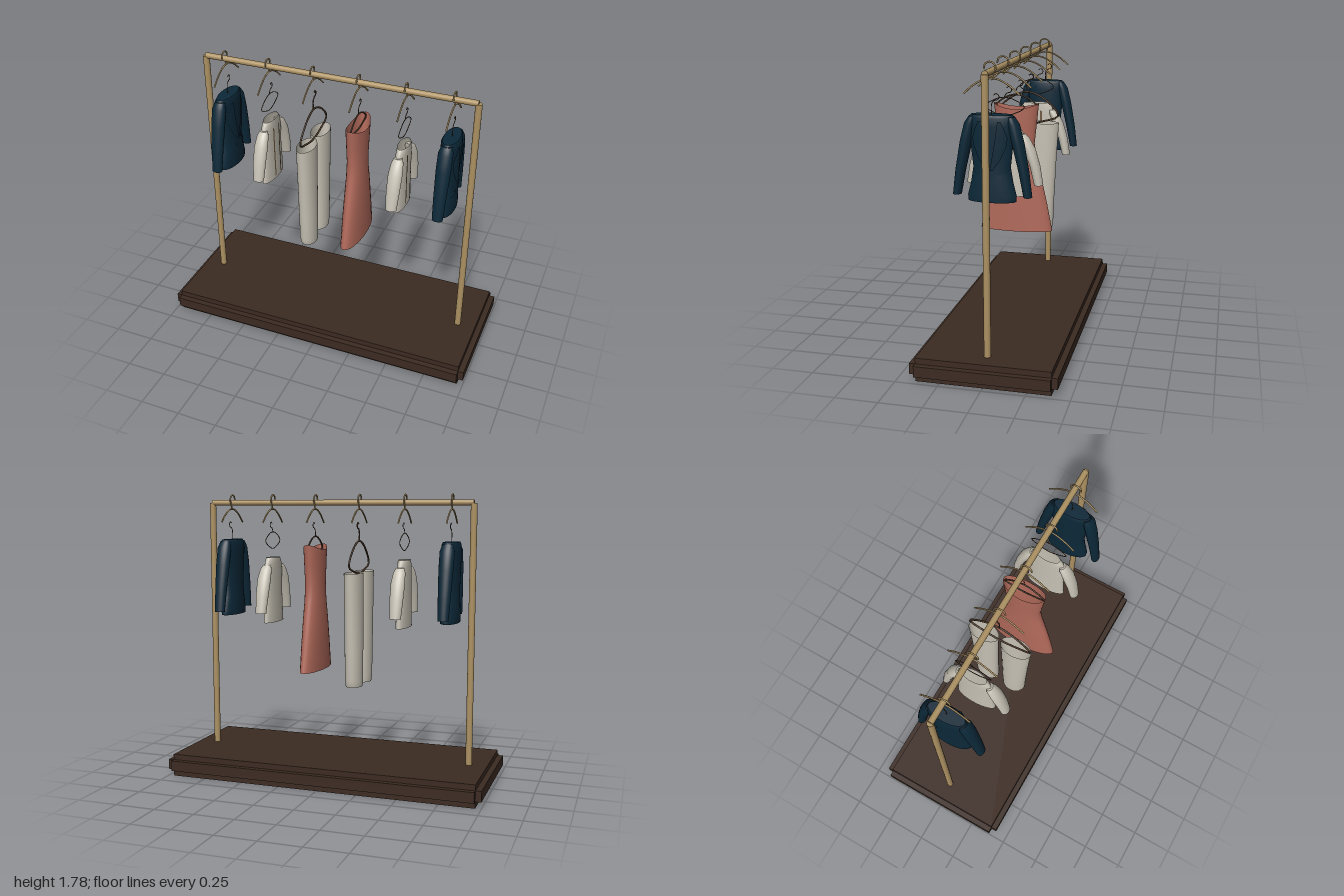
import * as THREE from 'three';

const material = (name, color, side = THREE.FrontSide) => {
  const m = new THREE.MeshStandardMaterial({ color, side });
  m.name = name;
  return m;
};

// Builds a smooth surface from a grid of points; closed grids wrap round.
function gridGeometry(rows, closed, capBottom, capTop) {
  const pos = [], index = [], n = rows[0].length;
  rows.forEach(r => r.forEach(p => pos.push(...p)));
  for (let i = 0; i < rows.length - 1; i++) {
    for (let j = 0; j < (closed ? n : n - 1); j++) {
      const k = (j + 1) % n, a = i * n + j, b = i * n + k;
      index.push(a, a + n, b, b, a + n, b + n);
    }
  }
  // Caps have their own ring so the rim stays sharp
  const cap = (ring, up) => {
    const start = pos.length / 3;
    ring.forEach(p => pos.push(...p));
    pos.push(...[0, 1, 2].map(c => ring.reduce((s, p) => s + p[c], 0) / n));
    for (let j = 0; j < n; j++) {
      const a = start + j, b = start + (j + 1) % n;
      index.push(start + n, ...(up ? [b, a] : [a, b]));
    }
  };
  if (capBottom) cap(rows[0], false);
  if (capTop) cap(rows[rows.length - 1], true);
  const g = new THREE.BufferGeometry();
  g.setAttribute('position', new THREE.Float32BufferAttribute(pos, 3));
  g.setIndex(index);
  g.computeVertexNormals();
  return g;
}

// Elliptical loft, rows of [y, centre z, x radius, z radius] from bottom to top
function loft(rows, { capBottom = false, capTop = false, wave = null } = {}) {
  const rings = rows.map(([y, cz, rx, rz], i) => Array.from({ length: 32 }, (_, j) => {
    const a = j / 32 * Math.PI * 2;
    return [rx * Math.cos(a), y + (wave ? wave(i, a) : 0), cz + rz * Math.sin(a)];
  }));
  return gridGeometry(rings, true, capBottom, capTop);
}

// Thin cloth patch lying on the +x face of a torso, rows of [y, z0, z1]
function patch(rows, torso, lift = 0.005) {
  const at = (y, c) => {
    let i = 0;
    while (i < torso.length - 2 && y > torso[i + 1][0]) i++;
    const t = (y - torso[i][0]) / (torso[i + 1][0] - torso[i][0]);
    return THREE.MathUtils.lerp(torso[i][c], torso[i + 1][c], t);
  };
  return gridGeometry(rows.map(([y, z0, z1]) => Array.from({ length: 7 }, (_, j) => {
    const z = z0 + (z1 - z0) * j / 6;
    return [at(y, 2) * Math.sqrt(Math.max(0, 1 - (z / at(y, 3)) ** 2)) + lift, y, z];
  })), false);
}

const mirrorRows = rows => rows.map(([y, a, b]) => [y, -b, -a]);

// Round wire through points of [z, y] in the plane x = 0
function wire(points, radius, closed = false) {
  const curve = new THREE.CatmullRomCurve3(points.map(([z, y]) => new THREE.Vector3(0, y, z)), closed);
  return new THREE.TubeGeometry(curve, 36, radius, 8, closed);
}

export function createModel() {
  const wood = material('dark wood', 0x3c2b22);
  const brass = material('pale brass', 0xac9162);
  const bronze = material('bronze wire', 0x4d3a29);
  const navy = material('navy cloth', 0x0c2838, THREE.DoubleSide);
  const cream = material('cream cloth', 0xc6c1b4, THREE.DoubleSide);
  const rose = material('rose cloth', 0xb0695a, THREE.DoubleSide);
  const trim = material('brown trim', 0x6a563c, THREE.DoubleSide);

  const model = new THREE.Group();
  model.name = 'clothesRack';
  const add = (parent, name, geometry, mat, x = 0, y = 0, z = 0) => {
    const mesh = new THREE.Mesh(geometry, mat);
    mesh.name = name;
    mesh.position.set(x, y, z);
    parent.add(mesh);
    return mesh;
  };
  const group = (name, x) => {
    const g = new THREE.Group();
    g.name = name;
    g.position.x = x;
    model.add(g);
    return g;
  };

  // Platform with a raised band on each side
  add(model, 'platform', new THREE.BoxGeometry(1.93, 0.14, 0.78), wood, 0, 0.07, 0);
  for (const s of [-1, 1]) {
    add(model, 'endBand', new THREE.BoxGeometry(0.035, 0.065, 0.78), wood, s * 0.9825, 0.0725, 0);
    add(model, 'sideBand', new THREE.BoxGeometry(1.93, 0.065, 0.035), wood, 0, 0.0725, s * 0.4075);
  }

  // Rack frame
  for (const s of [-1, 1]) {
    add(model, 'post', new THREE.CylinderGeometry(0.02, 0.02, 1.58, 20), brass, s * 0.85, 0.93, 0);
  }
  add(model, 'rail', new THREE.CylinderGeometry(0.018, 0.018, 1.7, 20), brass, 0, 1.722, 0).rotation.z = Math.PI / 2;

  // Hangers hooked over the rail
  const hook = wire([[0.042, 1.733], [0.034, 1.76], [0.01, 1.771], [-0.014, 1.762],
    [-0.024, 1.738], [-0.012, 1.71], [0, 1.68]], 0.005);
  const arms = wire([[-0.155, 1.598], [-0.1, 1.645], [-0.04, 1.677], [0, 1.683],
    [0.04, 1.677], [0.1, 1.645], [0.155, 1.598]], 0.005);
  const xs = [-0.72, -0.432, -0.144, 0.144, 0.432, 0.715];
  for (const x of xs) {
    const g = group('hanger', x);
    add(g, 'hangerHook', hook, brass);
    add(g, 'hangerArms', arms, brass);
  }

  // Small wire hook above each garment, plus an optional leaf-shaped loop
  const garmentHook = (g, bottom, r = 0.0025) => add(g, 'garmentHook',
    wire([[0, bottom], [0, 1.545], [-0.012, 1.563], [-0.036, 1.572], [-0.04, 1.59], [-0.026, 1.602], [-0.012, 1.594]], r), bronze);
  const loop = (g, half, tipY, top, bottom, r) => add(g, 'garmentLoop', wire([
    [-half, tipY], [-half * 0.6, (tipY + top * 2) / 3], [0, top], [half * 0.6, (tipY + top * 2) / 3],
    [half, tipY], [half * 0.55, (tipY + bottom * 2) / 3], [0, bottom], [-half * 0.55, (tipY + bottom * 2) / 3]], r, true), bronze);

  // Tailored coats
  const coatBody = [[1.01, 0, 0.055, 0.135], [1.04, 0, 0.056, 0.138], [1.12, 0, 0.054, 0.118], [1.2, 0, 0.051, 0.105],
    [1.32, 0, 0.054, 0.118], [1.43, 0, 0.056, 0.13], [1.475, 0, 0.054, 0.127], [1.49, 0, 0.047, 0.115]];
  const lapel = [[1.19, 0.002, 0.015], [1.25, 0.012, 0.06], [1.32, 0.025, 0.09], [1.37, 0.033, 0.098],
    [1.42, 0.04, 0.08], [1.46, 0.045, 0.062]];
  const flap = [[1.135, 0.03, 0.088], [1.165, 0.03, 0.088]];
  for (const x of [xs[0], xs[5]]) {
    const g = group('coat', x);
    garmentHook(g, 1.47);
    add(g, 'coatBody', loft(coatBody, { capTop: true }), navy);
    for (const s of [-1, 1]) {
      add(g, 'coatSleeve', loft([[1.04, s * 0.2, 0.032, 0.024], [1.18, s * 0.178, 0.038, 0.029],
        [1.34, s * 0.145, 0.044, 0.034], [1.44, s * 0.12, 0.044, 0.034], [1.48, s * 0.105, 0.032, 0.022]],
      { capTop: true }), navy);
      add(g, 'lapel', patch(s > 0 ? lapel : mirrorRows(lapel), coatBody, 0.008), navy);
      add(g, 'pocketFlap', patch(s > 0 ? flap : mirrorRows(flap), coatBody), navy);
    }
  }

  // Light shirts
  const shirtBody = [[0.97, 0, 0.038, 0.13], [1.05, 0, 0.037, 0.122], [1.18, 0, 0.035, 0.115],
    [1.3, 0, 0.035, 0.118], [1.35, 0, 0.035, 0.105], [1.38, 0, 0.034, 0.08]];
  const placket = [[0.99, 0.03, 0.042], [1.15, 0.03, 0.042], [1.33, 0.03, 0.042]];
  for (const x of [xs[1], xs[4]]) {
    const g = group('shirt', x);
    garmentHook(g, 1.535);
    loop(g, 0.115, 1.485, 1.54, 1.435, 0.0025);
    add(g, 'shirtBody', loft(shirtBody), cream);
    for (const s of [-1, 1]) {
      add(g, 'shirtSleeve', loft([[1.04, s * 0.2, 0.034, 0.026], [1.15, s * 0.178, 0.041, 0.03],
        [1.25, s * 0.145, 0.043, 0.034], [1.31, s * 0.115, 0.036, 0.03], [1.335, s * 0.1, 0.025, 0.018]],
      { capTop: true }), cream);
      add(g, 'shirtPlacket', patch(s > 0 ? placket : mirrorRows(placket), shirtBody, 0.003), trim);
    }
  }

  // Wide trousers, two open tubes
  const trousers = group('trousers', xs[2]);
  garmentHook(trousers, 1.485, 0.004);
  loop(trousers, 0.2, 1.345, 1.49, 1.29, 0.006);
  for (const s of [-1, 1]) {
    add(trousers, 'trouserLeg', loft([[0.6, s * 0.092, 0.05, 0.07], [0.64, s * 0.096, 0.053, 0.077],
      [0.8, s * 0.098, 0.054, 0.08], [1.05, s * 0.102, 0.055, 0.088], [1.3, s * 0.107, 0.055, 0.098]]), cream);
  }

  // Flared dress with a dipped neckline
  const dress = group('dress', xs[3]);
  garmentHook(dress, 1.51);
  loop(dress, 0.13, 1.44, 1.515, 1.415, 0.005);
  add(dress, 'dressBody', loft([[0.68, 0, 0.065, 0.225], [0.85, 0, 0.063, 0.192], [1.0, 0, 0.06, 0.158],
    [1.12, 0, 0.056, 0.128], [1.22, 0, 0.055, 0.112], [1.34, 0, 0.058, 0.125], [1.45, 0, 0.06, 0.138]],
  { wave: (i, a) => i === 6 ? -0.015 * Math.cos(2 * a) : 0 }), rose);

  return model;
}
